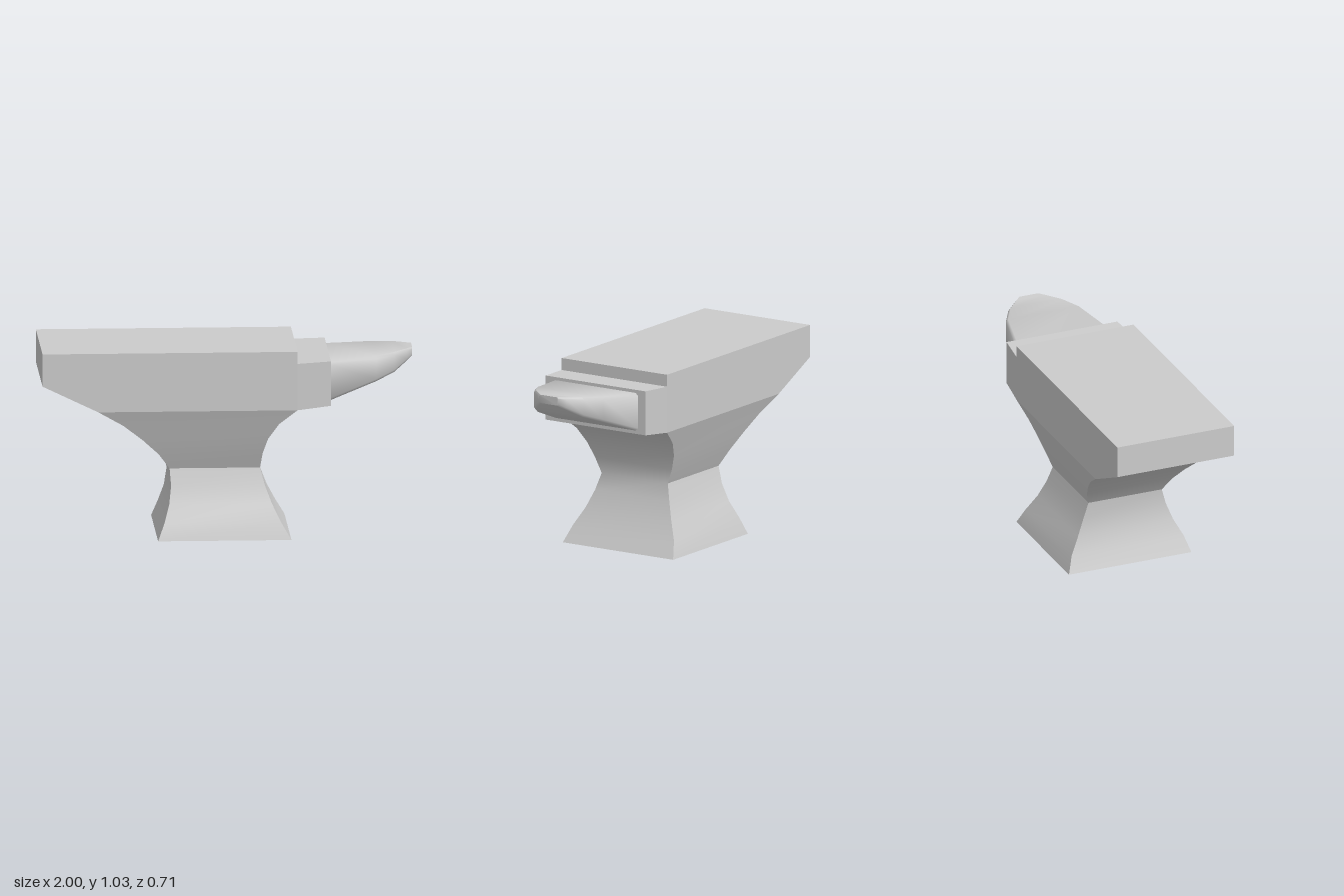
import * as THREE from 'three';
import { toCreasedNormals } from 'three/addons/utils/BufferGeometryUtils.js';

const material = new THREE.MeshStandardMaterial({ color: 0xcccccc, side: THREE.DoubleSide });

// Skins a list of rings; each ring runs counter-clockwise seen from the loft's far end.
function loft(name, rings, { startCap = false, endCap = false, crease = 0.5 } = {}) {
  const n = rings[0].length;
  const index = [];
  for (let i = 0; i < rings.length - 1; i++) {
    for (let j = 0; j < n; j++) {
      const a = i * n + j, b = i * n + (j + 1) % n;
      index.push(a, b, b + n, a, b + n, a + n);
    }
  }
  const last = (rings.length - 1) * n;
  for (let j = 1; j < n - 1; j++) {
    if (startCap) index.push(0, j + 1, j);
    if (endCap) index.push(last, last + j, last + j + 1);
  }
  const geometry = new THREE.BufferGeometry();
  geometry.setAttribute('position', new THREE.Float32BufferAttribute(rings.flat(2), 3));
  geometry.setIndex(index);
  const mesh = new THREE.Mesh(toCreasedNormals(geometry, crease), material);
  mesh.name = name;
  return mesh;
}

// Horizontal rectangle at height y.
const level = ([y, x0, x1, z]) => [[x1, y, z], [x1, y, -z], [x0, y, -z], [x0, y, z]];

// Upright rectangle at x with corners cut by c.
const upright = ([x, y0, y1, z, c]) => [
  [x, y0, -z + c], [x, y0 + c, -z], [x, y1 - c, -z], [x, y1, -z + c],
  [x, y1, z - c], [x, y1 - c, z], [x, y0 + c, z], [x, y0, z - c],
];

export function createModel() {
  const group = new THREE.Group();
  group.name = 'anvil';

  // Flared foot, narrow waist and widening throat: y, x min, x max, half depth
  group.add(loft('footAndWaist', [
    [0, -0.38, 0.336, 0.357],
    [0.09, -0.345, 0.283, 0.327],
    [0.185, -0.316, 0.235, 0.277],
    [0.28, -0.304, 0.199, 0.24],
    [0.37, -0.311, 0.175, 0.214],
    [0.455, -0.372, 0.187, 0.249],
    [0.54, -0.46, 0.215, 0.281],
    [0.625, -0.565, 0.272, 0.311],
    [0.706, -0.7, 0.37, 0.341],
  ].map(level), { startCap: true }));

  // Flat working face with its overhanging heel
  group.add(loft('faceBlock', [
    [0.706, -0.7, 0.37, 0.341],
    [0.85, -1, 0.37, 0.341],
    [1.026, -1, 0.37, 0.341],
  ].map(level), { endCap: true }));

  // Step between the face and the horn
  group.add(loft('step', [
    [[0.37, 0.706, -0.341], [0.37, 0.96, -0.341], [0.37, 0.96, 0.341], [0.37, 0.706, 0.341]],
    [[0.55, 0.725, -0.323], [0.55, 0.968, -0.323], [0.55, 0.968, 0.323], [0.55, 0.725, 0.323]],
  ], { endCap: true }));

  // Tapering horn: x, bottom, top, half depth, corner cut
  group.add(loft('horn', [
    [0.55, 0.743, 0.951, 0.273, 0.014],
    [0.8, 0.834, 0.971, 0.22, 0.014],
    [0.9, 0.873, 0.981, 0.163, 0.013],
    [0.97, 0.92, 0.987, 0.095, 0.011],
    [1, 0.943, 0.989, 0.062, 0.008],
  ].map(upright), { endCap: true, crease: 0.9 }));

  return group;
}
